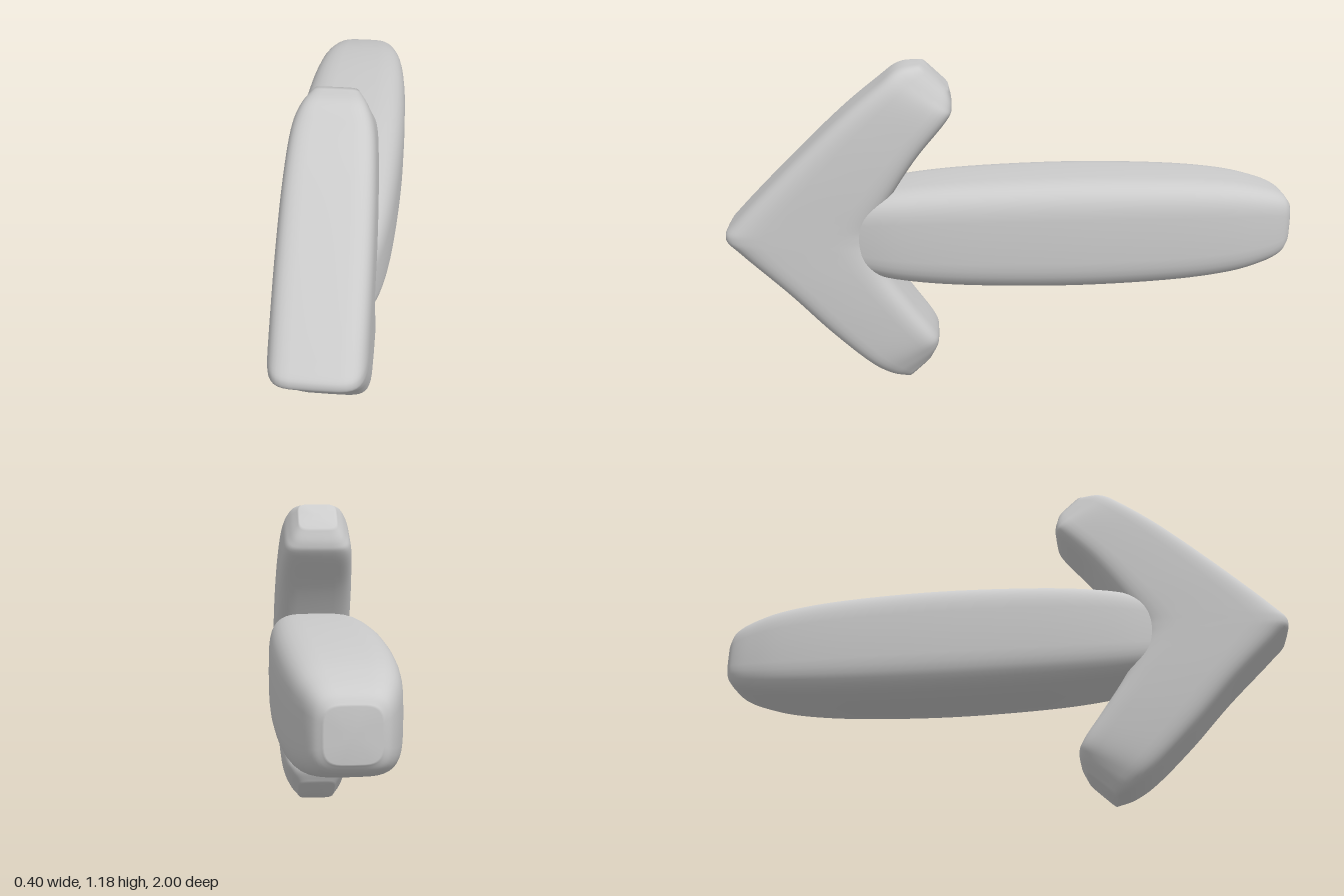
import * as THREE from 'three';

const SIDES = 40;

// Superellipse power: keeps the sign and squares off the circle
const squared = (v, n) => Math.sign(v) * Math.pow(Math.abs(v), 2 / n);

// Smooth closed skin over stations [halfWidth, y1, z1, y2, z2]; n sets how square each section is
function loft(stations, n, steps) {
  const edge = (k) => new THREE.CatmullRomCurve3(
    stations.map((s) => new THREE.Vector3(s[0], s[k], s[k + 1])), false, 'catmullrom', 0.5);
  const first = edge(1), second = edge(3);
  const positions = [], index = [];
  const centres = [];
  for (let i = 0; i <= steps; i++) {
    const a = first.getPoint(i / steps), b = second.getPoint(i / steps);
    const mid = a.clone().add(b).multiplyScalar(0.5);
    const half = a.clone().sub(b).multiplyScalar(0.5);
    centres.push(mid);
    for (let j = 0; j < SIDES; j++) {
      const t = (j / SIDES) * Math.PI * 2;
      const c = squared(Math.cos(t), n), s = squared(Math.sin(t), n);
      positions.push(a.x * c, mid.y + half.y * s, mid.z + half.z * s);
    }
  }
  const at = (i, j) => i * SIDES + (j % SIDES);
  const startCap = positions.length / 3, endCap = startCap + 1;
  for (const c of [centres[0], centres[steps]]) positions.push(0, c.y, c.z);
  for (let j = 0; j < SIDES; j++) {
    for (let i = 0; i < steps; i++) {
      index.push(at(i, j), at(i, j + 1), at(i + 1, j));
      index.push(at(i, j + 1), at(i + 1, j + 1), at(i + 1, j));
    }
    index.push(startCap, at(0, j + 1), at(0, j));
    index.push(endCap, at(steps, j), at(steps, j + 1));
  }
  const geometry = new THREE.BufferGeometry();
  geometry.setAttribute('position', new THREE.Float32BufferAttribute(positions, 3));
  geometry.setIndex(index);
  geometry.computeVertexNormals();
  return geometry;
}

export function createModel() {
  const group = new THREE.Group();
  group.name = 'arrow';
  const material = new THREE.MeshStandardMaterial({ color: 0xcccccc });
  const add = (name, geometry) => {
    const mesh = new THREE.Mesh(geometry, material);
    mesh.name = name;
    group.add(mesh);
  };

  // Shaft: pillow-shaped bar, mirrored about its middle; [z, half size]
  const middle = -0.21, height = 0.58;
  const back = [[-1, 0.08], [-0.97, 0.113], [-0.9, 0.142], [-0.77, 0.171], [-0.55, 0.191]];
  const front = back.map(([z, r]) => [middle + (middle - z) * 1.06, r]).reverse();
  const profile = [...back, [middle, 0.2], ...front];
  add('shaft', loft(profile.map(([z, r]) => [r, height + r, z, height - r, z]), 4, 60));

  // Head: V-shaped, from the upper arm end round the tip to the lower arm end
  const head = [
    [0.07, 1.177, 0.305, 1.09, 0.213],
    [0.105, 1.165, 0.385, 1.03, 0.203],
    [0.13, 1.11, 0.46, 0.985, 0.222],
    [0.143, 1.0, 0.594, 0.86, 0.326],
    [0.149, 0.83, 0.775, 0.735, 0.41],
    [0.15, 0.65, 0.955, 0.63, 0.47],
    [0.15, 0.588, 1.0, 0.58, 0.48],
    [0.15, 0.53, 0.955, 0.53, 0.475],
    [0.149, 0.37, 0.795, 0.43, 0.435],
    [0.143, 0.22, 0.66, 0.305, 0.353],
    [0.13, 0.09, 0.53, 0.2, 0.28],
    [0.105, 0.03, 0.45, 0.15, 0.266],
    [0.07, 0.002, 0.385, 0.09, 0.29],
  ];
  add('head', loft(head, 5, 72));

  return group;
}
